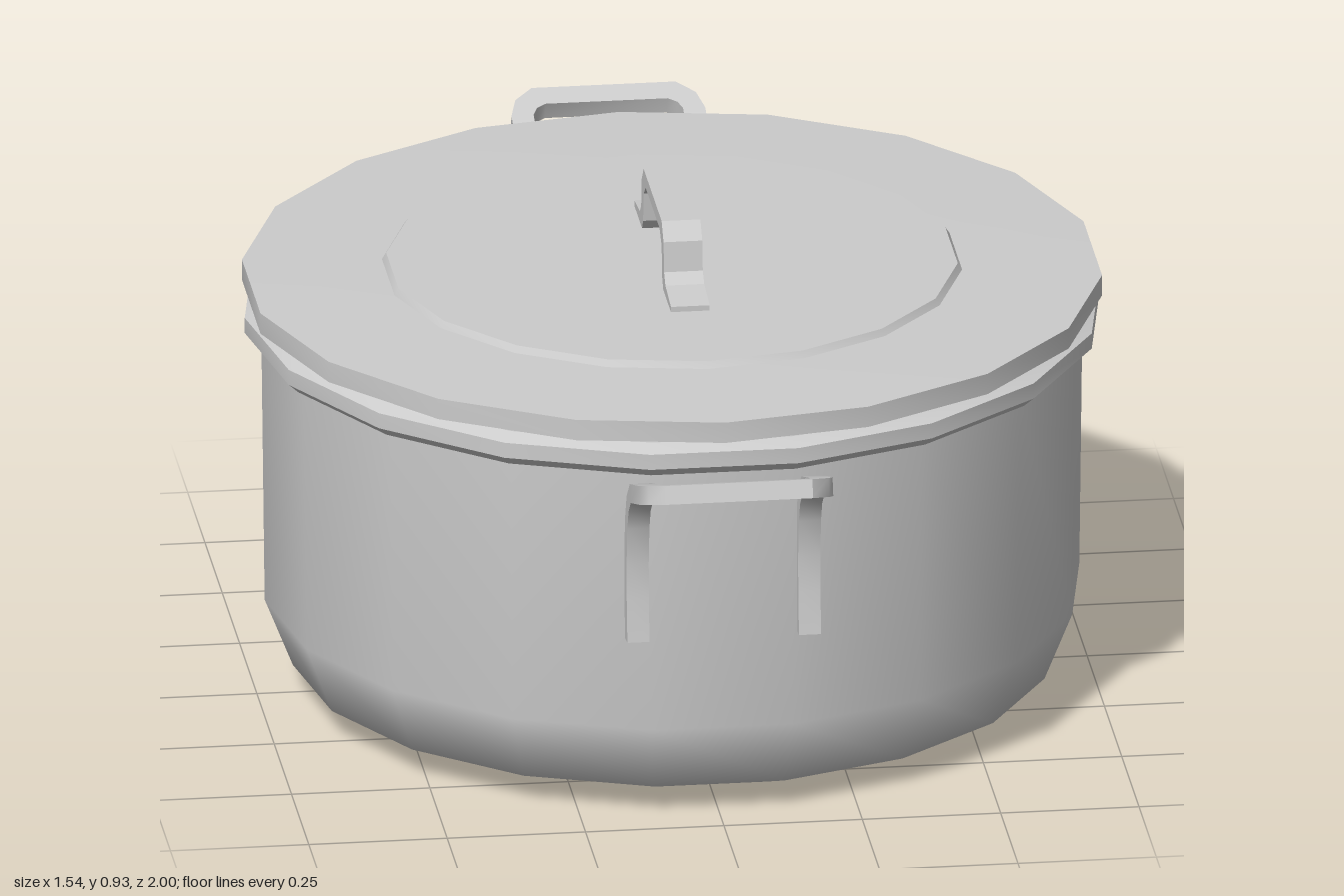
import * as THREE from 'three';
import { toCreasedNormals } from 'three/addons/utils/BufferGeometryUtils.js';

const SIDES = 18;
const material = new THREE.MeshStandardMaterial({ color: 0xcccccc });

function addMesh(parent, name, geometry) {
  const mesh = new THREE.Mesh(geometry, material);
  mesh.name = name;
  parent.add(mesh);
  return mesh;
}

// Turned part from [radius, height] pairs, outside running upward
function turned(profile, start = 0, crease = 0) {
  const points = profile.map(([r, y]) => new THREE.Vector2(r, y));
  const geometry = new THREE.LatheGeometry(points, SIDES, start);
  return crease ? toCreasedNormals(geometry, crease) : geometry;
}

// Square-section loop: a U outline laid on a curved sheet of given thickness
function sideHandleGeometry() {
  const half = 0.017;
  // [z, y, outer x, inner x] up one leg, centred in the sheet
  const leg = [
    [0.738, 0.36], [0.728, 0.44], [0.726, 0.51], [0.737, 0.585], [0.757, 0.63], [0.795, 0.665],
  ];
  const sheetY = (z) => 0.665 + (z - 0.795) * 0.36;
  const rows = leg.map(([z, y], i) => {
    const a = leg[Math.max(i - 1, 0)], b = leg[i + 1] || [0.95, sheetY(0.95)];
    const n = new THREE.Vector2(-(b[1] - a[1]), b[0] - a[0]).normalize();
    return { outer: [0.175, y, z], inner: [0.135, y, z], n };
  });
  // Chamfered corner at the grip
  const tip = new THREE.Vector2(-0.36, 1).normalize();
  const corners = [[0.175, 0.925, 0.135, 0.925], [0.163, 0.965, 0.127, 0.942], [0.13, 0.994, 0.11, 0.952]];
  for (const [xo, zo, xi, zi] of corners) {
    rows.push({ outer: [xo, sheetY(zo), zo], inner: [xi, sheetY(zi), zi], n: tip });
  }
  const mirror = ([x, y, z]) => [-x, y, z];
  const all = rows.concat([...rows].reverse().map((r) => ({ outer: mirror(r.outer), inner: mirror(r.inner), n: r.n })));

  const positions = [], index = [];
  for (const { outer, inner, n } of all) {
    for (const [p, s] of [[outer, 1], [inner, 1], [inner, -1], [outer, -1]]) {
      positions.push(p[0], p[1] + n.y * half * s, p[2] + n.x * half * s);
    }
  }
  for (let i = 0; i < all.length - 1; i++) {
    for (let k = 0; k < 4; k++) {
      const a = i * 4 + k, b = i * 4 + ((k + 1) % 4);
      index.push(a, b, a + 4, b, b + 4, a + 4);
    }
  }
  const e = (all.length - 1) * 4;
  index.push(0, 2, 1, 0, 3, 2, e, e + 1, e + 2, e, e + 2, e + 3);
  const geometry = new THREE.BufferGeometry();
  geometry.setAttribute('position', new THREE.Float32BufferAttribute(positions, 3));
  geometry.setIndex(index);
  return toCreasedNormals(geometry, 0.6);
}

// Bent strap on the lid, drawn in profile and extruded across its width
function lidHandleGeometry() {
  const outer = [[0.265, 0.812], [0.185, 0.822], [0.165, 0.84], [0.158, 0.895], [0.13, 0.925]];
  const inner = [[0.1, 0.9], [0.13, 0.877], [0.137, 0.822], [0.155, 0.798], [0.265, 0.798]];
  const half = [...inner, ...outer];
  const flipped = [...half].reverse().map(([z, y]) => [-z, y]);
  const shape = new THREE.Shape([...half, ...flipped].map(([z, y]) => new THREE.Vector2(z, y)));
  const geometry = new THREE.ExtrudeGeometry(shape, { depth: 0.07, bevelEnabled: false });
  geometry.translate(0, 0, -0.035);
  geometry.rotateY(-Math.PI / 2);
  return toCreasedNormals(geometry, 0.5);
}

export function createModel() {
  const model = new THREE.Group();
  model.name = 'cookingPot';
  const quarter = Math.PI / 2;

  // Pot: rounded outer shell, inner wall and rolled rim
  const pot = new THREE.Group();
  pot.name = 'pot';
  model.add(pot);
  addMesh(pot, 'outerShell', turned([[0, 0], [0.56, 0.003], [0.685, 0.052], [0.736, 0.18], [0.742, 0.69]], quarter));
  addMesh(pot, 'innerWall', turned([[0.705, 0.735], [0.7, 0.18], [0.65, 0.08], [0.54, 0.035], [0, 0.03]], quarter));
  addMesh(pot, 'rim', turned([
    [0.738, 0.675], [0.752, 0.677], [0.772, 0.695], [0.772, 0.724], [0.745, 0.737], [0.705, 0.735],
  ], quarter, 0.45));

  // Lid: wide plate, raised centre and strap handle
  const lid = new THREE.Group();
  lid.name = 'lid';
  model.add(lid);
  addMesh(lid, 'lidPlate', turned([[0, 0.745], [0.772, 0.745], [0.772, 0.784], [0.52, 0.79], [0, 0.79]], 0, 0.45));
  addMesh(lid, 'lidCentre', turned([[0.522, 0.788], [0.513, 0.802], [0, 0.802]], 0, 0.45));
  addMesh(lid, 'lidHandle', lidHandleGeometry());

  // Looped handles front and back
  const loop = sideHandleGeometry();
  addMesh(model, 'frontHandle', loop);
  addMesh(model, 'backHandle', loop).rotation.y = Math.PI;

  return model;
}
